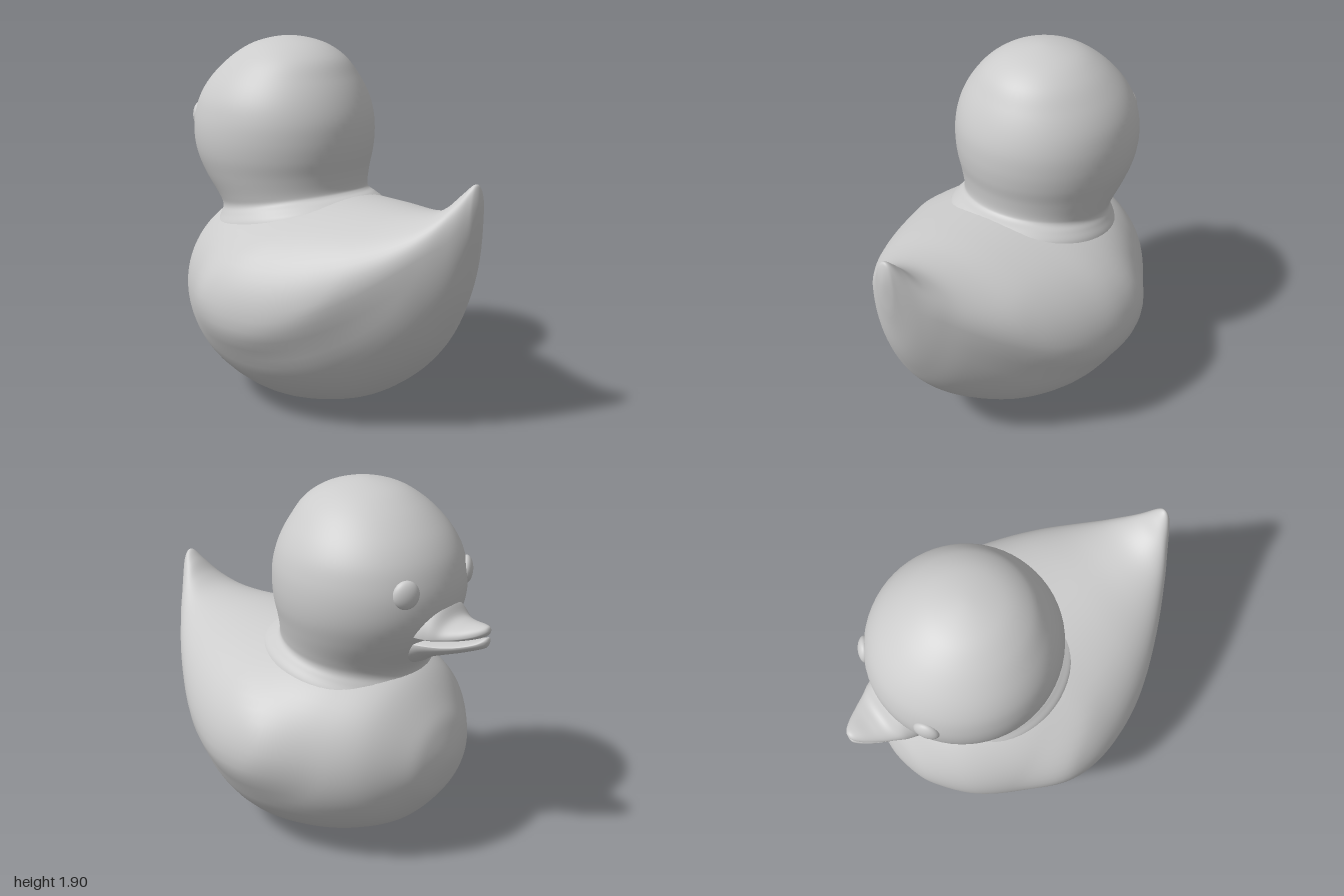
import * as THREE from 'three';
import { mergeVertices } from 'three/addons/utils/BufferGeometryUtils.js';

const material = new THREE.MeshStandardMaterial({ color: 0xcccccc });

// Smooth value between table rows; the first and last rows only steer the ends.
function sampleRow(rows, t) {
  const i = Math.min(Math.floor(t), rows.length - 4), f = t - i;
  return rows[i].map((a, k) => {
    const b = rows[i + 1][k], c = rows[i + 2][k], d = rows[i + 3][k];
    return b + 0.5 * f * (c - a + f * (2 * a - 5 * b + 4 * c - d + f * (3 * (b - c) + d - a)));
  });
}

// Closed rings through the rows; place(row, angle) returns one surface point.
function loft(name, rows, place, steps = 6, sides = 64) {
  const pos = [], index = [], count = (rows.length - 3) * steps;
  for (let i = 0; i <= count; i++) {
    const row = sampleRow(rows, i / steps);
    for (let j = 0; j < sides; j++) pos.push(...place(row, (j / sides) * Math.PI * 2));
  }
  for (let i = 0; i < count; i++) {
    for (let j = 0; j < sides; j++) {
      const a = i * sides + j, b = i * sides + (j + 1) % sides;
      index.push(a, b, a + sides, b, b + sides, a + sides);
    }
  }
  let geo = new THREE.BufferGeometry();
  geo.setAttribute('position', new THREE.Float32BufferAttribute(pos, 3));
  geo.setIndex(index);
  geo = mergeVertices(geo, 1e-5);
  geo.computeVertexNormals();
  const mesh = new THREE.Mesh(geo, material);
  mesh.name = name;
  return mesh;
}

// Upright section: row = [x, bottom, top, half width, height of widest point]
function section([x, bottom, top, w, mid], a) {
  const c = Math.cos(a);
  return [x, mid + c * (c > 0 ? top - mid : mid - bottom), w * Math.sin(a)];
}

// Body section with a soft raised wing on each side
function bodyPoint(row, a) {
  const [x, y, z] = section(row, a);
  const dx = x - 0.2, dy = y - 0.76, c = Math.cos(0.4), s = Math.sin(0.4);
  const r = Math.hypot((dx * c + dy * s) / 0.64, (dy * c - dx * s) / 0.34);
  const lift = 0.04 * (1 - THREE.MathUtils.smoothstep(r, 0.55, 1.05));
  return [x, y, z + Math.sin(a) * lift];
}

// Level head section: row = [y, centre x, radius x, radius z, backward tilt]
function headPoint([y, cx, rx, rz, tilt], a) {
  const dx = rx * Math.cos(a);
  return [cx + dx, y + tilt * dx, rz * Math.sin(a)];
}

export function createModel() {
  const duck = new THREE.Group();
  duck.name = 'duck';

  // Body, from the breast to the upturned tail
  duck.add(loft('body', [
    [-0.795, 0.70, 0.44, -0.16, 0.57],
    [-0.82, 0.57, 0.57, 0, 0.57],
    [-0.795, 0.44, 0.70, 0.16, 0.57],
    [-0.74, 0.325, 0.815, 0.28, 0.57],
    [-0.6, 0.17, 0.985, 0.45, 0.58],
    [-0.4, 0.07, 1.07, 0.58, 0.58],
    [-0.2, 0.02, 1.10, 0.66, 0.6],
    [0, 0, 1.11, 0.675, 0.6],
    [0.2, 0.03, 1.11, 0.635, 0.6],
    [0.4, 0.10, 1.11, 0.55, 0.65],
    [0.6, 0.24, 1.11, 0.42, 0.76],
    [0.75, 0.40, 1.13, 0.31, 0.88],
    [0.85, 0.57, 1.18, 0.215, 0.97],
    [0.92, 0.74, 1.25, 0.135, 1.03],
    [0.97, 0.95, 1.295, 0.07, 1.13],
    [0.99, 1.07, 1.27, 0.04, 1.18],
    [1.0, 1.19, 1.19, 0, 1.19],
    [0.99, 1.27, 1.07, -0.04, 1.18],
  ], bodyPoint));

  // Head, from the crown to the neck that flares into the body
  duck.add(loft('head', [
    [1.87, -0.26, -0.17, -0.165, 0],
    [1.9, -0.26, 0, 0, 0],
    [1.87, -0.26, 0.17, 0.165, 0],
    [1.8, -0.265, 0.295, 0.285, 0],
    [1.7, -0.285, 0.385, 0.38, 0],
    [1.6, -0.295, 0.445, 0.44, 0],
    [1.5, -0.298, 0.478, 0.468, 0],
    [1.4, -0.3, 0.487, 0.475, 0],
    [1.3, -0.295, 0.475, 0.464, 0.02],
    [1.2, -0.275, 0.44, 0.435, 0.06],
    [1.1, -0.235, 0.395, 0.4, 0.12],
    [1.055, -0.215, 0.39, 0.39, 0.17],
    [1.02, -0.2, 0.42, 0.41, 0.2],
    [0.97, -0.19, 0.46, 0.44, 0.22],
    [0.9, -0.19, 0.46, 0.44, 0.22],
  ], headPoint));

  // Beak: two thin halves with a narrow mouth between them
  const beak = new THREE.Group();
  beak.name = 'beak';
  beak.add(loft('upperBeak', [
    [-0.99, 1.265, 1.308, -0.03, 1.285],
    [-1.0, 1.287, 1.287, 0, 1.287],
    [-0.99, 1.265, 1.308, 0.03, 1.285],
    [-0.95, 1.245, 1.312, 0.068, 1.268],
    [-0.88, 1.227, 1.308, 0.112, 1.25],
    [-0.82, 1.22, 1.318, 0.145, 1.243],
    [-0.77, 1.218, 1.38, 0.172, 1.24],
    [-0.7, 1.222, 1.4, 0.19, 1.243],
    [-0.6, 1.23, 1.4, 0.17, 1.25],
    [-0.5, 1.23, 1.4, 0.1, 1.25],
  ], section));
  beak.add(loft('lowerBeak', [
    [-0.99, 1.21, 1.255, -0.028, 1.24],
    [-1.0, 1.235, 1.235, 0, 1.235],
    [-0.99, 1.207, 1.255, 0.028, 1.238],
    [-0.95, 1.187, 1.238, 0.06, 1.222],
    [-0.88, 1.16, 1.218, 0.1, 1.205],
    [-0.8, 1.132, 1.21, 0.135, 1.195],
    [-0.72, 1.1, 1.212, 0.165, 1.195],
    [-0.64, 1.05, 1.215, 0.17, 1.19],
    [-0.5, 1.0, 1.215, 0.14, 1.18],
    [-0.4, 1.0, 1.215, 0.1, 1.18],
  ], section));
  duck.add(beak);

  // Eyes: flattened domes lying on the sides of the face
  for (const side of [1, -1]) {
    const eye = new THREE.Mesh(new THREE.SphereGeometry(1, 32, 20), material);
    eye.name = side > 0 ? 'rightEye' : 'leftEye';
    eye.scale.set(0.066, 0.07, 0.035);
    eye.position.set(-0.7, 1.465, side * 0.25);
    eye.rotation.y = side > 0 ? -1.0 : 1.0 - Math.PI;
    duck.add(eye);
  }
  return duck;
}
